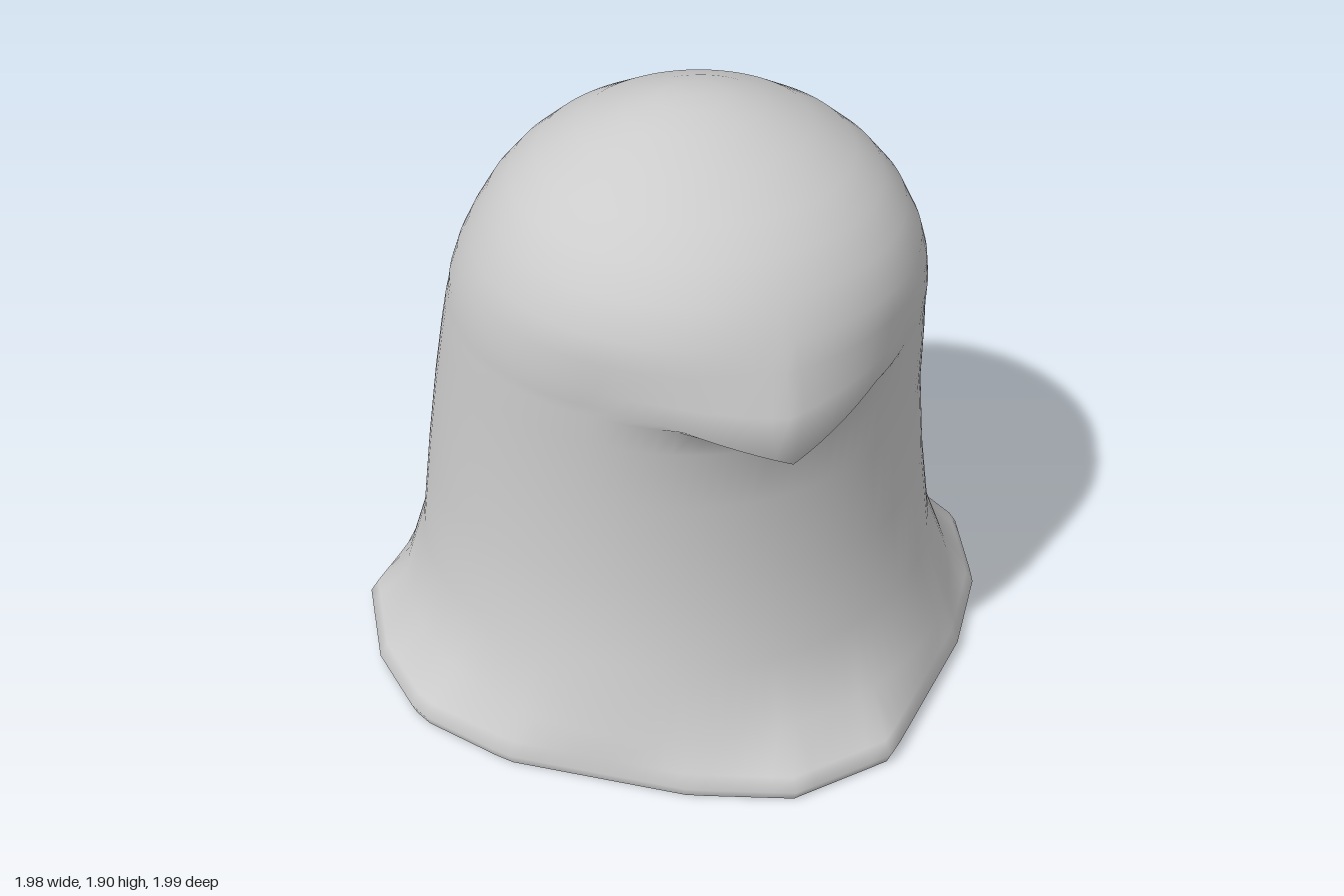
import * as THREE from 'three';

const SEGMENTS = 96;

// Uneven hem outline as [x, z], running from the front round by +x
const HEM = [
  [0, 1], [0.33, 0.95], [0.73, 0.56], [0.91, 0.3], [0.99, 0], [0.87, -0.26],
  [0.78, -0.54], [0.53, -0.73], [0.33, -0.94], [-0.04, -1], [-0.33, -0.94],
  [-0.56, -0.73], [-0.94, -0.32], [-0.99, 0], [-0.95, 0.29], [-0.75, 0.56], [-0.29, 0.88],
];

// Body levels: height, half width, front z, back z, beak drop, beak reach
const LEVELS = [
  [0.17, 0.865, 0.86, -0.855],
  [0.37, 0.795, 0.78, -0.8],
  [0.65, 0.76, 0.755, -0.77],
  [0.93, 0.73, 0.745, -0.7],
  [1.14, 0.71, 0.775, -0.64, 0, 0.01],
  [1.235, 0.7, 0.78, -0.605, 0.02, 0.06],
  [1.27, 0.695, 0.79, -0.59, 0.095, 0.13],
  [1.33, 0.69, 0.8, -0.57, 0.03, 0.085],
  [1.42, 0.67, 0.81, -0.53, 0, 0.04],
  [1.5, 0.64, 0.815, -0.49],
  [1.6, 0.59, 0.765, -0.42],
  [1.68, 0.525, 0.69, -0.35],
  [1.75, 0.445, 0.605, -0.27],
  [1.82, 0.33, 0.47, -0.15],
  [1.87, 0.205, 0.34, -0.02],
  [1.893, 0.1, 0.24, 0.06],
];

// Point where the ray at angle a (from +z towards +x) meets the hem outline
function hemPoint(a) {
  const dx = Math.sin(a), dz = Math.cos(a);
  for (let i = 0; i < HEM.length; i++) {
    const [px, pz] = HEM[i], [qx, qz] = HEM[(i + 1) % HEM.length];
    const ex = qx - px, ez = qz - pz;
    const det = dx * ez - dz * ex;
    const r = (px * ez - pz * ex) / det;
    const t = (px * dz - pz * dx) / det;
    if (r > 0 && t >= -1e-6 && t <= 1 + 1e-6) return [dx * r, dz * r];
  }
  return [dx, dz];
}

function hemRing(y, scale) {
  return (a) => {
    const [x, z] = hemPoint(a);
    return [x * scale, y, z * scale];
  };
}

// Elliptical ring, with the front drawn out and down into the beak
function bodyRing([y, halfWidth, front, back, drop = 0, reach = 0]) {
  return (a) => {
    const x = halfWidth * Math.sin(a);
    const z = (front + back) / 2 + ((front - back) / 2) * Math.cos(a);
    const ahead = Math.cos(a) > 0 ? 1 : 0;
    const narrow = ahead * Math.max(0, 1 - Math.abs(x) / 0.3);
    const wide = ahead * Math.max(0, 1 - Math.abs(x) / 0.46);
    return [x - 0.01 * Math.min(1, y), y - drop * narrow, z + reach * wide];
  };
}

// Skin a stack of closed rings and finish with a single top point
function skin(rings, apex) {
  const positions = [], index = [];
  rings.forEach((ring) => {
    for (let i = 0; i < SEGMENTS; i++) positions.push(...ring((i / SEGMENTS) * Math.PI * 2));
  });
  const top = positions.length / 3;
  positions.push(...apex);
  for (let r = 0; r < rings.length; r++) {
    for (let i = 0; i < SEGMENTS; i++) {
      const a = r * SEGMENTS + i, b = r * SEGMENTS + ((i + 1) % SEGMENTS);
      if (r === rings.length - 1) index.push(a, b, top);
      else index.push(a, b, b + SEGMENTS, a, b + SEGMENTS, a + SEGMENTS);
    }
  }
  const geometry = new THREE.BufferGeometry();
  geometry.setAttribute('position', new THREE.Float32BufferAttribute(positions, 3));
  geometry.setIndex(index);
  geometry.computeVertexNormals();
  return geometry;
}

export function createModel() {
  const group = new THREE.Group();
  group.name = 'hoodedBird';
  const material = new THREE.MeshStandardMaterial({ color: 0xcccccc });

  // Smooth body: flared hem, trunk, beak and domed head in one skin
  const rings = [
    hemRing(0, 0.985), hemRing(0.035, 1), hemRing(0.075, 0.975),
    ...LEVELS.map(bodyRing),
  ];
  const body = new THREE.Mesh(skin(rings, [-0.01, 1.9, 0.15]), material);
  body.name = 'body';
  group.add(body);

  // Flat underside
  const outline = [];
  for (let i = 0; i < SEGMENTS; i++) {
    const [x, z] = hemPoint((i / SEGMENTS) * Math.PI * 2);
    outline.push(new THREE.Vector2(x * 0.985, z * 0.985));
  }
  const underside = new THREE.Mesh(new THREE.ShapeGeometry(new THREE.Shape(outline)), material);
  underside.rotation.x = Math.PI / 2;
  underside.name = 'underside';
  group.add(underside);

  return group;
}
